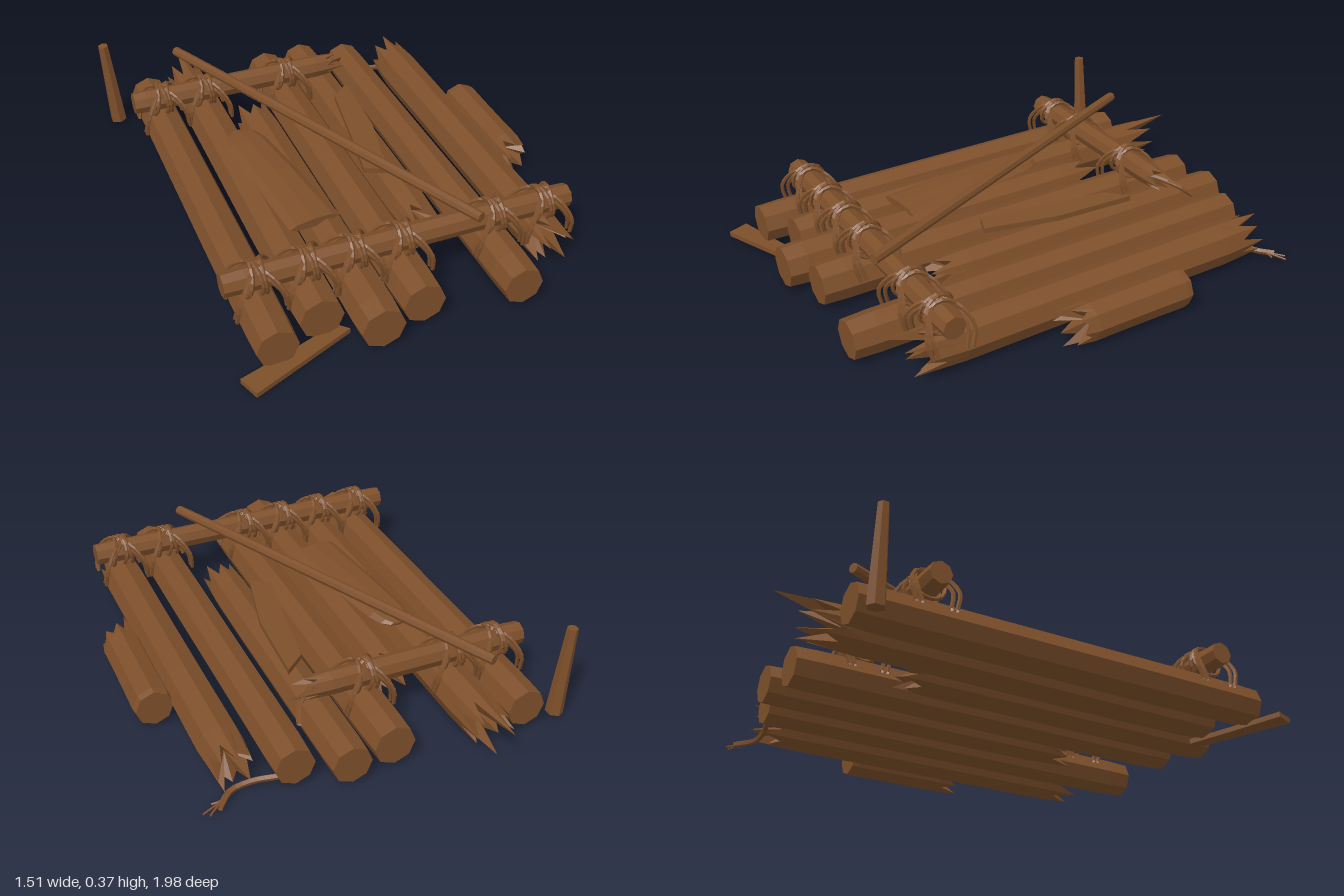
import * as THREE from 'three';

const wood = new THREE.MeshStandardMaterial({ color: 0x7d4f2a, flatShading: true, side: THREE.DoubleSide });
wood.name = 'brown wood';
const V = (x, y, z) => new THREE.Vector3(x, y, z);

function add(parent, name, geometry, x = 0, y = 0, z = 0) {
  const mesh = new THREE.Mesh(geometry, wood);
  mesh.name = name;
  mesh.position.set(x, y, z);
  parent.add(mesh);
  return mesh;
}

// Skin over rings of points ordered along +z, closed with a fan at each end
function skin(rings, backCentre, frontCentre) {
  const out = [], n = rings[0].length, last = rings[rings.length - 1];
  const tri = (...p) => p.forEach(v => out.push(v.x, v.y, v.z));
  for (let i = 0; i < n; i++) {
    const k = (i + 1) % n;
    for (let j = 0; j < rings.length - 1; j++) {
      const a = rings[j], b = rings[j + 1];
      tri(a[i], a[k], b[k]);
      tri(a[i], b[k], b[i]);
    }
    tri(backCentre, rings[0][k], rings[0][i]);
    tri(frontCentre, last[i], last[k]);
  }
  const g = new THREE.BufferGeometry();
  g.setAttribute('position', new THREE.Float32BufferAttribute(out, 3));
  g.computeVertexNormals();
  return g;
}

// Octagon with a corner on top; odd points are the middles of its sides
function octagon(r, z, ry = r, x = 0) {
  return Array.from({ length: 16 }, (_, i) => {
    const a = Math.PI / 2 + i * Math.PI / 8, q = i % 2 ? Math.cos(Math.PI / 8) : 1;
    return V(x + Math.cos(a) * r * q, Math.sin(a) * ry * q, z);
  });
}

// Log along z. Splinter lists give the length at each of the eight corners,
// starting on top and going round by way of -x; null means a clean cut.
function log(r, z0, z1, back, front) {
  const len = z1 - z0;
  const rings = [0, 0.06, 0.35, 0.7, 0.94, 1].map((t, j) => {
    const end = j === 0 || j === 5;
    const f = end ? 0.93 : 1 - 0.03 * Math.abs(Math.sin(j * 2.3 + z0 * 9));
    return octagon(r * f, z0 + len * t);
  });
  const splinter = (ring, list, dir) => ring.forEach((p, i) => {
    if (i % 2) return;
    p.z += dir * list[i / 2];
    p.x *= 0.9;
    p.y *= 0.97;
  });
  if (back) splinter(rings[0], back, -1);
  if (front) splinter(rings[5], front, 1);
  return skin(rings, V(0, 0, z0 + (back ? r * 0.5 : 0)), V(0, 0, z1 - (front ? r * 0.5 : 0)));
}

// Flat board from an outline of [x, z] points
function board(points, thickness) {
  const shape = new THREE.Shape(points.map(p => new THREE.Vector2(...p)));
  return new THREE.ExtrudeGeometry(shape, { depth: thickness, bevelEnabled: false }).rotateX(Math.PI / 2);
}

function rope(points, radius = 0.008, closed = false, steps = 10) {
  const curve = new THREE.CatmullRomCurve3(points.map(p => V(...p)), closed);
  return new THREE.TubeGeometry(curve, steps, radius, 5, closed);
}

// Rope lashing: loops round the beam and legs gripping the log below
function lashing(x, z) {
  const g = new THREE.Group();
  g.name = 'lashing';
  g.position.set(x, 0, z);
  [-0.03, 0, 0.03].forEach((dx, k) => {
    const loop = [];
    for (let i = 0; i < 8; i++) {
      const a = i * Math.PI / 4;
      loop.push([dx + 0.012 * Math.sin(a + k * 2), 0.222 + 0.062 * Math.sin(a), 0.06 * Math.cos(a)]);
    }
    add(g, 'ropeLoop', rope(loop, 0.008, true, 16));
  });
  for (const sx of [-1, 1]) for (const sz of [-1, 1]) for (const o of [0, 0.022]) {
    add(g, 'ropeLeg', rope([
      [-sx * 0.02, 0.282, -sz * 0.01],
      [sx * (0.04 - o), 0.255, sz * (0.055 - o / 2)],
      [sx * (0.082 - o / 3), 0.185, sz * (0.09 - o)],
      [sx * 0.092, 0.11, sz * (0.075 - o)],
    ]));
  }
  return g;
}

export function createModel() {
  const raft = new THREE.Group();
  raft.name = 'brokenRaft';

  // Deck logs: x, radius, back z, front z, back splinters, front splinters
  [
    [-0.56, 0.081, -0.79, 0.89],
    [-0.378, 0.087, -0.76, 0.82, [0.23, 0.11, 0.12, 0.06, 0.14, 0.08, 0.12, 0.12], null],
    [-0.203, 0.086, -0.36, 0.94, [0.05, 0.1, 0.05, 0.08, 0.06, 0.08, 0.06, 0.1], null],
    [-0.025, 0.085, -0.79, 0.88],
    [0.152, 0.08, -0.82, 0.43, null, [0.06, 0.08, 0.1, 0.06, 0.1, 0.06, 0.09, 0.1]],
    [0.335, 0.08, -0.75, 0.925],
    [0.532, 0.086, -0.62, 0.68, [0.11, 0.08, 0.05, 0.08, 0.04, 0.1, 0.1, 0.08], [0.08, 0.17, 0.06, 0.1, 0.07, 0.12, 0.08, 0.15]],
    [0.678, 0.077, -0.25, 0.19, null, [0.05, 0.11, 0.08, 0.06, 0.08, 0.05, 0.03, 0.04]],
  ].forEach(([x, r, z0, z1, back, front]) =>
    add(raft, 'deckLog', log(r, z0, z1, back, front), x, r + 0.008, 0));

  // Cross beams, the back one snapped short
  const backBeam = add(raft, 'backBeam', log(0.047, -0.68, 0.16, null, [0.05, 0.03, 0.08, 0.02, 0.04, 0.06, 0.12, 0.04]), 0, 0.222, -0.52);
  const frontBeam = add(raft, 'frontBeam', log(0.047, -0.68, 0.64), 0, 0.222, 0.67);
  backBeam.rotation.y = frontBeam.rotation.y = Math.PI / 2;

  // Lashings where the beams cross logs
  [-0.56, -0.378, -0.025].forEach(x => raft.add(lashing(x, -0.52)));
  [-0.56, -0.378, -0.203, -0.025, 0.335, 0.532].forEach(x => raft.add(lashing(x, 0.67)));
  add(raft, 'looseRope', rope([[0.14, 0.23, -0.5], [0.2, 0.22, -0.54], [0.25, 0.2, -0.58], [0.27, 0.16, -0.63]], 0.01));

  // Pole lying diagonally over both beams
  const pole = add(raft, 'pole', log(0.021, -0.82, 0.82), -0.1, 0.303, 0.015);
  pole.rotation.y = 0.423;

  // Rounded paddle blade lying on the deck
  const blade = [[-0.33, 0.04, 0.01], [-0.3, 0.066, 0.016], [-0.24, 0.083, 0.022], [0, 0.094, 0.026], [0.33, 0.102, 0.018]]
    .map(([z, rx, ry]) => octagon(rx, z, ry));
  add(raft, 'paddleBlade', skin(blade, V(0, 0, -0.335), V(0, 0, 0.33)), -0.29, 0.178, 0.1).rotation.y = 0.12;

  // Broken boards: one on the deck, one under the front corner
  add(raft, 'deckSplinter', board([[0.2, -0.37], [0.12, -0.3], [0.07, 0], [0.03, 0.22], [0.11, 0.25], [0.18, -0.04]], 0.022), 0, 0.2, 0);
  add(raft, 'cornerBoard', board([[-0.7, 0.91], [-0.67, 0.99], [-0.45, 0.9], [-0.28, 0.83], [-0.32, 0.79], [-0.5, 0.85]], 0.02), 0, 0.026, 0);

  // Leaning stake beside the back corner
  add(raft, 'stake', new THREE.CylinderGeometry(0.021, 0.034, 0.37, 6), -0.722, 0.193, -0.762).rotation.z = 0.075;

  // Dry branch with twigs behind the right-hand logs
  add(raft, 'branch', rope([[0.38, 0.04, -0.72], [0.48, 0.035, -0.7], [0.56, 0.028, -0.71], [0.62, 0.022, -0.77]], 0.012));
  [[0.66, -0.79], [0.68, -0.775], [0.64, -0.74]].forEach(([x, z]) =>
    add(raft, 'twig', rope([[0.55, 0.03, -0.71], [0.6, 0.026, -0.74], [x, 0.022, z]], 0.004, false, 5)));

  return raft;
}
